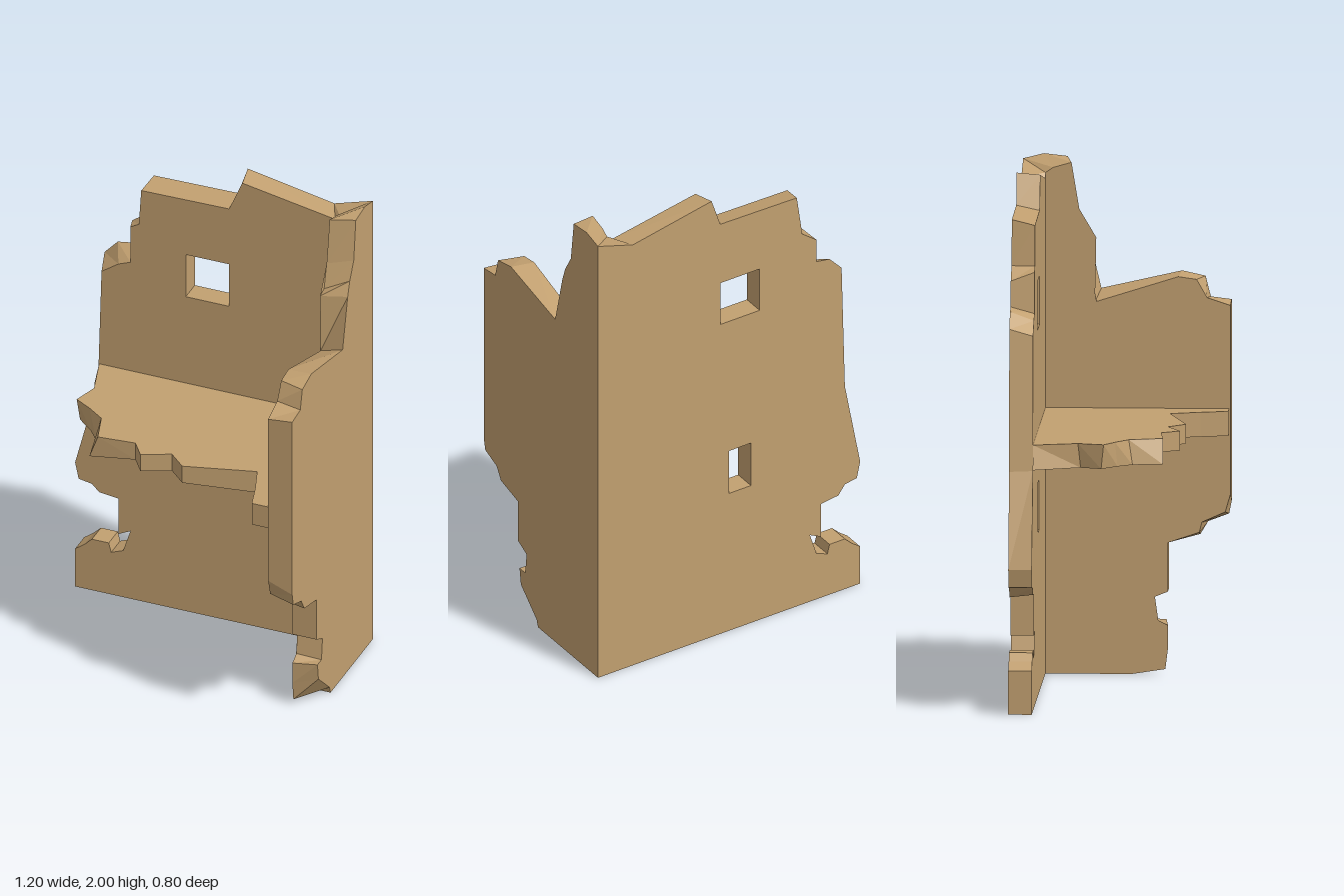
import * as THREE from 'three';

const material = new THREE.MeshStandardMaterial({ color: 0xc2a070, flatShading: true });

// Slab between two matching outlines. Each point is [u, v, u2, v2]: face A, then face B
// (B may be left out when equal). placeA / placeB turn (u, v) into a 3D position.
function slab(name, points, holes, placeA, placeB) {
  const full = (list) => list.map(([a, b, c = a, d = b]) => [a, b, c, d]);
  const loops = [full(points), ...holes.map(full)];
  const flat = loops.map((l) => l.map((p) => new THREE.Vector2(p[0], p[1])));
  const faces = THREE.ShapeUtils.triangulateShape(flat[0], flat.slice(1));
  const all = loops.flat();
  const a = all.map((p) => placeA(p[0], p[1]));
  const b = all.map((p) => placeB(p[2], p[3]));
  const pos = [];
  const tri = (...v) => v.forEach((p) => pos.push(...p));
  for (const [i, j, k] of faces) {
    tri(a[i], a[j], a[k]);
    tri(b[k], b[j], b[i]);
  }
  // Broken edges and window reveals
  let start = 0;
  for (const loop of loops) {
    const n = loop.length;
    for (let i = 0; i < n; i++) {
      const p = start + i, q = start + ((i + 1) % n);
      tri(a[p], b[p], b[q]);
      tri(a[p], b[q], a[q]);
    }
    start += n;
  }
  const geometry = new THREE.BufferGeometry();
  geometry.setAttribute('position', new THREE.Float32BufferAttribute(pos, 3));
  geometry.computeVertexNormals();
  const mesh = new THREE.Mesh(geometry, material);
  mesh.name = name;
  return mesh;
}

// Clockwise rectangular opening
const opening = (x0, x1, y0, y1) => [[x0, y0], [x0, y1], [x1, y1], [x1, y0]];

export function createModel() {
  const group = new THREE.Group();
  group.name = 'ruinedCorner';

  // Back wall with two windows, mitred into the side wall (front face, back face)
  const backOutline = [
    [-0.6, 0], [0.5, 0, 0.6, 0], [0.5, 1.94, 0.6, 1.98], [0.48, 1.92, 0.44, 1.93],
    [0.095, 1.99, 0.08, 2], [0.04, 1.86, 0.04, 1.88], [-0.325, 1.855, -0.31, 1.875],
    [-0.335, 1.7], [-0.37, 1.68, -0.4, 1.65], [-0.37, 1.52, -0.4, 1.55],
    [-0.42, 1.5, -0.46, 1.54], [-0.49, 1.45, -0.515, 1.48], [-0.505, 0.93, -0.53, 0.93],
    [-0.6, 0.56], [-0.585, 0.49], [-0.53, 0.48], [-0.5, 0.45, -0.5, 0.44],
    [-0.42, 0.44, -0.42, 0.43], [-0.42, 0.28], [-0.37, 0.305], [-0.4, 0.21],
    [-0.45, 0.19], [-0.46, 0.23], [-0.53, 0.23], [-0.56, 0.2], [-0.6, 0.17],
  ];
  group.add(slab('backWall', backOutline,
    [opening(-0.14, 0.04, 1.42, 1.61), opening(-0.1, 0, 0.63, 0.825)],
    (x, y) => [x, y, -0.31], (x, y) => [x, y, -0.4]));

  // Side wall as [z, y] (outer face, inner face); reversed to run anticlockwise from outside
  const sideOutline = [
    [-0.4, 0, -0.31, 0], [0.02, 0], [0.03, 0.03, 0.15, 0.02], [0.14, 0.13, 0.16, 0.1],
    [0.15, 0.2, 0.16, 0.19], [0.11, 0.2, 0.12, 0.21], [0.1, 0.29, 0.11, 0.3],
    [0.16, 0.32], [0.16, 0.5, 0.16, 0.51], [0.28, 0.53, 0.28, 0.55],
    [0.31, 0.58, 0.29, 0.59], [0.39, 0.61, 0.38, 0.63], [0.4, 0.66, 0.4, 0.7],
    [0.4, 1.44, 0.4, 1.43], [0.32, 1.45, 0.31, 1.46], [0.3, 1.53, 0.27, 1.53],
    [0.21, 1.55, 0.2, 1.54], [-0.1, 1.48, -0.12, 1.44], [-0.15, 1.69, -0.115, 1.69],
    [-0.17, 1.75, -0.155, 1.7], [-0.21, 1.82, -0.18, 1.8], [-0.23, 1.99, -0.21, 1.98],
    [-0.32, 2, -0.28, 1.96], [-0.4, 1.98, -0.31, 1.94],
  ].reverse().map(([z, y, z2 = z, y2 = y]) => [-z, y, -z2, y2]).reverse();
  // Seen from outside, u = -z runs to the right, so the loop is turned round
  sideOutline.reverse();
  group.add(slab('sideWall', sideOutline, [],
    (u, y) => [0.6, y, -u], (u, y) => [0.5, y, -u]));

  // Broken upper floor as [x, z] (top face, underside)
  const floorOutline = [
    [-0.5, -0.31, -0.52, -0.31], [-0.45, -0.14, -0.44, -0.13], [-0.48, -0.04, -0.47, -0.05],
    [-0.41, 0, -0.4, 0.01], [-0.34, 0.05, -0.355, 0.065], [-0.3, 0.18, -0.335, 0.18],
    [-0.15, 0.165], [-0.1, 0.235], [0.01, 0.185], [0.08, 0.25], [0.36, 0.175],
    [0.4, 0.29], [0.43, 0.395], [0.5, 0.395], [0.5, -0.31],
  ].map(([x, z, x2 = x, z2 = z]) => [x, -z, x2, -z2]);
  group.add(slab('upperFloor', floorOutline, [],
    (x, v) => [x, 1.03, -v],
    (x, v) => [x, v < -0.1 && Math.abs(x) < 0.2 ? 0.955 : 0.935, -v]));

  return group;
}
